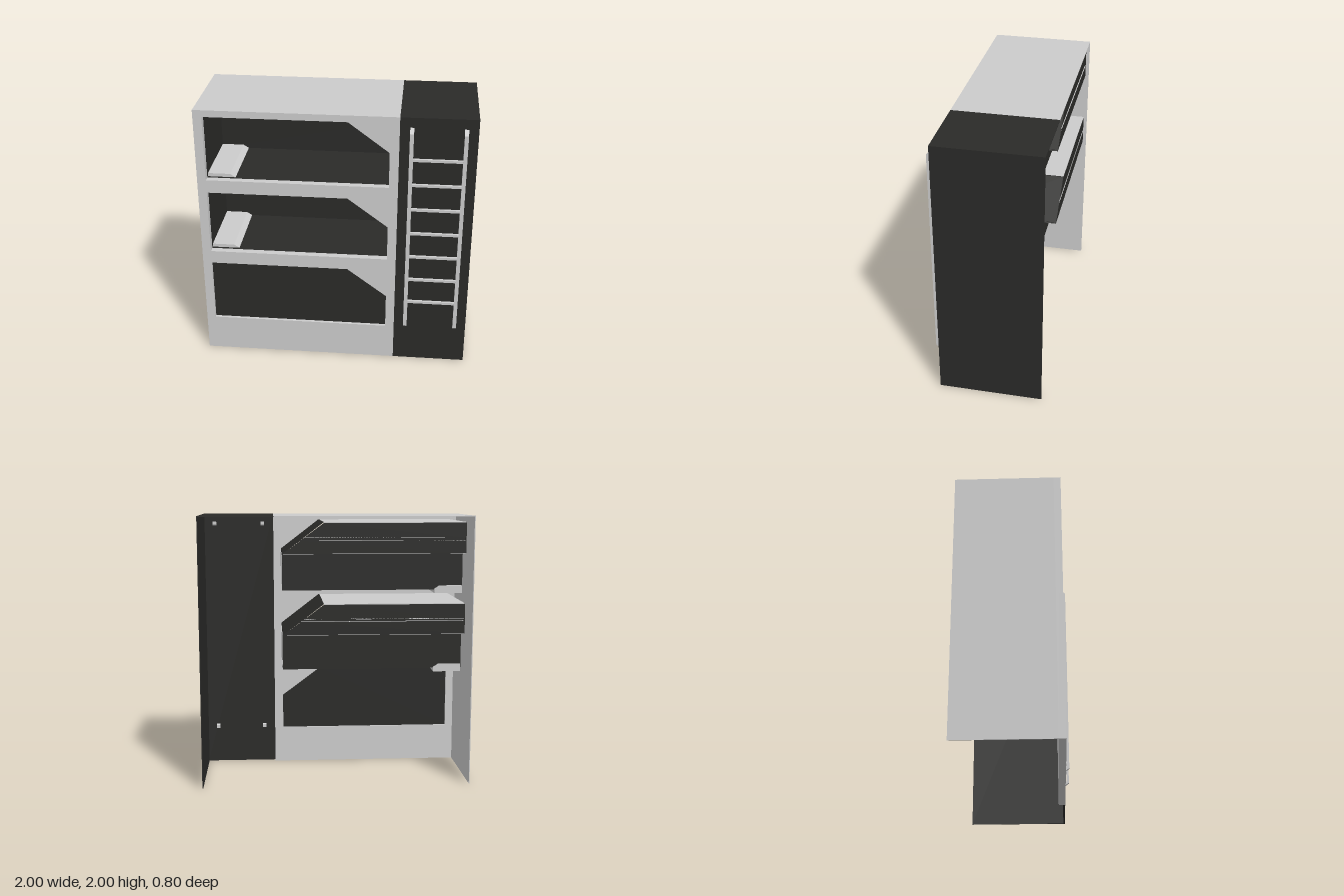
import * as THREE from 'three';

const grey = new THREE.MeshStandardMaterial({ color: 0xcccccc, flatShading: true });
const dark = new THREE.MeshStandardMaterial({ color: 0x2a2a28, flatShading: true });

const FRONT = 0.36, BACK = -0.4, INNER = 0.31; // cabinet depth and back of the front panel
const L = -0.935, R = 0.39, SLANT = 0.095;      // opening width and start of the cut corner
const H = 0.49, STEP = 0.27;                    // opening height and height of the cut corner
const T = 0.006;                                // sheet thickness

// Box given by its limits
function box(parent, name, mat, x0, x1, y0, y1, z0, z1) {
  const mesh = new THREE.Mesh(new THREE.BoxGeometry(x1 - x0, y1 - y0, z1 - z0), mat);
  mesh.position.set((x0 + x1) / 2, (y0 + y1) / 2, (z0 + z1) / 2);
  mesh.name = name;
  parent.add(mesh);
  return mesh;
}

// XY outline extruded from z0 to z1
function slab(parent, name, mat, pts, z0, z1, holes = []) {
  const toVec = (list) => list.map(([x, y]) => new THREE.Vector2(x, y));
  const shape = new THREE.Shape(toVec(pts));
  holes.forEach((h) => shape.holes.push(new THREE.Path(toVec(h))));
  const geo = new THREE.ExtrudeGeometry(shape, { depth: z1 - z0, bevelEnabled: false });
  const mesh = new THREE.Mesh(geo, mat);
  mesh.position.z = z0;
  mesh.name = name;
  parent.add(mesh);
  return mesh;
}

// Opening with a cut upper corner, standing on height b
const opening = (b) => [[L, b], [R, b], [R, b + STEP], [SLANT, b + H], [L, b + H]];

// x of the cut corner at height h above the opening's base
const slantX = (h) => R + (SLANT - R) * Math.max(0, (h - STEP) / (H - STEP));

function bunk(b) {
  const g = new THREE.Group();
  g.name = 'bunk';
  const mid = -0.25, rear = -0.38;

  box(g, 'bunkFloor', dark, L, R, b - T, b, mid, INNER);
  box(g, 'bunkBackWall', dark, L, R, b - T, b + STEP, mid - T, mid);

  // Head wall, deeper above the ledge
  box(g, 'headWall', dark, L - T, L, b - T, b + H, mid, INNER);
  box(g, 'headWallUpper', dark, L - T, L, b + STEP, b + H, rear, mid);

  // Foot wall with a pale panel on its outside
  box(g, 'footWall', dark, R, R + T, b - T, b + STEP, mid, INNER);
  box(g, 'footWallPanel', grey, R + T, R + T + 0.004, b + 0.02, b + STEP - 0.02, mid + 0.015, INNER - 0.04);

  // Rear ledge, dark above and pale below
  box(g, 'ledgeTop', dark, L, R, b + STEP, b + STEP + T, rear, mid);
  box(g, 'ledgeUnderside', grey, L, R, b + STEP - 0.003, b + STEP, rear, mid - T);

  // Roof and slanted corner
  box(g, 'bunkRoof', grey, L, SLANT, b + H, b + H + T, rear, INNER);
  slab(g, 'slantedRoof', dark,
    [[R, b + STEP], [R + T, b + STEP], [SLANT + T, b + H + T], [SLANT, b + H + T]], rear, INNER);

  // Upper back: two strips with a narrow groove between them
  const strip = (name, mat, h0, h1, z) => slab(g, name, mat,
    [[L, b + h0], [slantX(h0), b + h0], [slantX(h1), b + h1], [L, b + h1]], z, z + T);
  strip('lowerBackStrip', dark, STEP, 0.365, rear);
  strip('upperBackStrip', dark, 0.383, H, rear);
  strip('grooveBacking', dark, 0.355, 0.395, rear + 0.02);
  box(g, 'grooveLedge', grey, L, slantX(0.365), b + 0.361, b + 0.366, rear, rear + 0.02);
  box(g, 'grooveTop', grey, L, slantX(0.383), b + 0.382, b + 0.387, rear, rear + 0.02);

  // Wedge pillow reaching through the floor and back wall
  slab(g, 'pillow', grey,
    [[L + 0.001, b - 0.03], [-0.73, b - 0.03], [-0.73, b], [-0.77, b + 0.025], [L + 0.001, b + 0.025]],
    mid - 0.03, INNER - 0.02);
  return g;
}

function ladder() {
  const g = new THREE.Group();
  g.name = 'ladder';
  // Rail outline in (-z, y), with both ends bent back into the panel
  const rail = [[0.335, 1.94], [0.36, 1.927], [0.4, 1.895], [0.4, 0.32], [0.36, 0.29], [0.335, 0.275],
    [0.335, 0.3], [0.36, 0.315], [0.38, 0.332], [0.38, 1.883], [0.36, 1.9], [0.335, 1.915]]
    .map(([z, y]) => [-z, y]);
  for (const x of [0.527, 0.902]) {
    const mesh = slab(g, 'ladderRail', grey, rail, 0, 0.028);
    mesh.rotation.y = Math.PI / 2;
    mesh.position.x = x;
  }
  for (let i = 0; i < 7; i++) {
    const y = 0.53 + i * 0.194;
    box(g, 'rung', grey, 0.555, 0.902, y - 0.009, y + 0.009, 0.375, 0.395);
  }
  return g;
}

export function createModel() {
  const model = new THREE.Group();
  model.name = 'bunkCabinet';
  const split = 0.456;

  // Pale part of the shell, open at the back and underneath
  slab(model, 'bunkFrontPanel', grey, [[-1, 0], [split, 0], [split, 2], [-1, 2]],
    INNER, FRONT, [0.28, 0.87, 1.46].map(opening));
  box(model, 'bunkTop', grey, -1, split, 2 - T, 2, BACK, INNER);
  box(model, 'bunkSide', grey, -1, -1 + T, 0, 2 - T, BACK, INNER);

  // Dark ladder section
  box(model, 'ladderPanel', dark, split, 1, 0, 2, FRONT - 0.012, FRONT);
  box(model, 'ladderSectionTop', dark, split, 1, 2 - T, 2, BACK, FRONT - 0.012);
  box(model, 'ladderSectionSide', dark, 1 - T, 1, 0, 2 - T, BACK, FRONT - 0.012);

  // Closed panel in the bottom opening
  slab(model, 'bottomPanel', dark, opening(0.28), 0.325, 0.337);

  model.add(bunk(0.87), bunk(1.46), ladder());
  return model;
}
